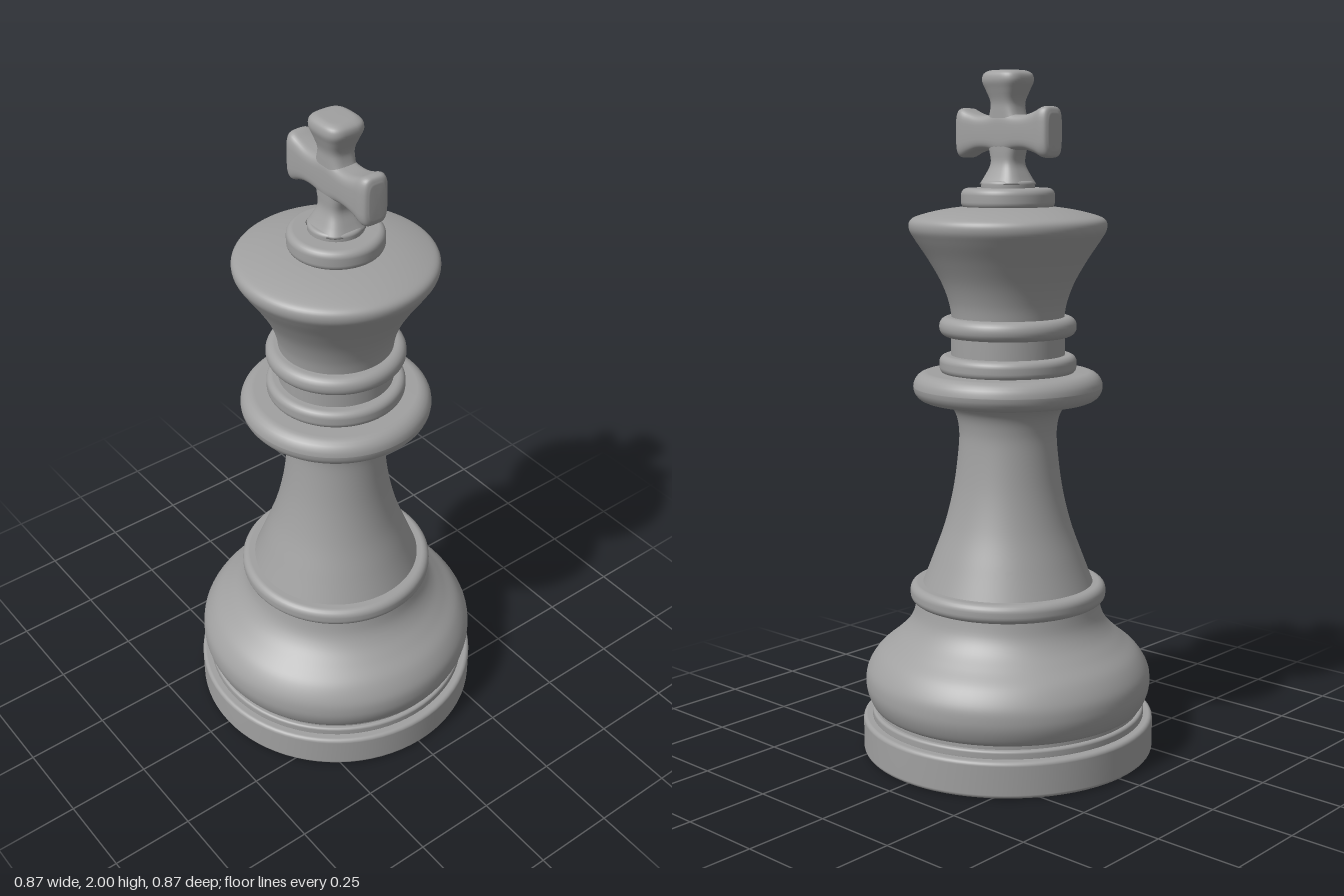
import * as THREE from 'three';
import { mergeVertices } from 'three/addons/utils/BufferGeometryUtils.js';

const SEGMENTS = 80;
const vectors = (pts) => pts.map(([r, y]) => new THREE.Vector2(r, y));

// Smooth curve through a few [radius, height] points
const smooth = (pts, n = 32) => new THREE.SplineCurve(vectors(pts)).getPoints(n);

// Profile of a turned disc whose rim is rounded by the given radius
function discProfile(r, y0, y1, round) {
  const pts = [[0, y0]];
  for (const [cy, start] of [[y0 + round, -Math.PI / 2], [y1 - round, 0]]) {
    for (let i = 0; i <= 6; i++) {
      const a = start + (i / 6) * Math.PI / 2;
      pts.push([r - round + round * Math.cos(a), cy + round * Math.sin(a)]);
    }
  }
  pts.push([0, y1]);
  return vectors(pts);
}

// Loft of rounded-square sections; stations are [height, half width, half depth]
function loft(stations, power) {
  const curve = new THREE.CatmullRomCurve3(stations.map(([y, w, d]) => new THREE.Vector3(w, y, d)));
  const rows = curve.getPoints(stations.length * 4);
  const count = rows.length;
  const first = rows[0], last = rows[count - 1];
  const outline = [[0, first.y], ...rows.map((p) => [1, p.y]), [0, last.y]];
  const geo = new THREE.LatheGeometry(vectors(outline), 40);
  const pos = geo.attributes.position;
  const bend = (v) => Math.sign(v) * Math.pow(Math.abs(v), 2 / power);
  for (let i = 0; i < pos.count; i++) {
    const row = rows[Math.min(Math.max(i % (count + 2) - 1, 0), count - 1)];
    pos.setX(i, bend(pos.getX(i)) * row.x);
    pos.setZ(i, bend(pos.getZ(i)) * row.z);
  }
  geo.deleteAttribute('normal');
  geo.deleteAttribute('uv');
  const merged = mergeVertices(geo, 1e-5);
  merged.computeVertexNormals();
  return merged;
}

export function createModel() {
  const model = new THREE.Group();
  model.name = 'chessKing';
  const grey = new THREE.MeshStandardMaterial({ color: 0xa0a0a0 });
  grey.name = 'stone grey';

  const add = (name, geo, parent = model) => {
    const mesh = new THREE.Mesh(geo, grey);
    mesh.name = name;
    parent.add(mesh);
    return mesh;
  };
  const turned = (name, pts) => add(name, new THREE.LatheGeometry(pts, SEGMENTS));

  // Foot: plinth, step and groove
  turned('plinth', discProfile(0.435, 0, 0.107, 0.012));
  turned('plinthStep', discProfile(0.408, 0.1, 0.13, 0.008));
  turned('groove', discProfile(0.395, 0.12, 0.15, 0.004));

  // Swelling base and its upper lip
  turned('baseBulge', smooth([
    [0.385, 0.138], [0.405, 0.146], [0.421, 0.18], [0.426, 0.215], [0.419, 0.255], [0.39, 0.3],
    [0.345, 0.338], [0.306, 0.375], [0.282, 0.415], [0.27, 0.47],
  ], 48));
  turned('baseLip', discProfile(0.291, 0.455, 0.511, 0.022));

  // Waisted shaft
  turned('shaft', smooth([
    [0.255, 0.505], [0.222, 0.59], [0.186, 0.69], [0.16, 0.8], [0.145, 0.92],
    [0.145, 0.98], [0.158, 1.025], [0.19, 1.06],
  ], 48));

  // Collar rings and neck
  turned('collar', discProfile(0.277, 1.055, 1.14, 0.042));
  turned('upperCollar', discProfile(0.2, 1.135, 1.19, 0.02));
  turned('neck', discProfile(0.166, 1.18, 1.255, 0.004));
  turned('neckRing', discProfile(0.2, 1.244, 1.301, 0.026));

  // Flared crown with a domed top
  turned('crown', smooth([
    [0.163, 1.29], [0.171, 1.34], [0.193, 1.4], [0.23, 1.465], [0.268, 1.522], [0.285, 1.553],
    [0.281, 1.579], [0.25, 1.594], [0.18, 1.61], [0.09, 1.62], [0, 1.622],
  ], 56));
  turned('crownButton', discProfile(0.135, 1.61, 1.67, 0.02));
  turned('crossFoot', discProfile(0.078, 1.66, 1.69, 0.01));

  // Cross with flared, rounded ends
  const cross = new THREE.Group();
  cross.name = 'cross';
  model.add(cross);
  add('crossUpright', loft([
    [1.68, 0.074, 0.07], [1.705, 0.06, 0.056], [1.74, 0.045, 0.042], [1.775, 0.052, 0.041],
    [1.83, 0.07, 0.041], [1.88, 0.05, 0.041], [1.91, 0.045, 0.042], [1.945, 0.058, 0.053],
    [1.97, 0.068, 0.061], [1.988, 0.065, 0.058], [1.998, 0.05, 0.045], [2.0, 0.03, 0.027],
  ], 3.2), cross);
  const halfArm = [[0.05, 0.05, 0.043], [0.09, 0.05, 0.043], [0.125, 0.06, 0.043],
    [0.152, 0.071, 0.044], [0.168, 0.068, 0.038], [0.175, 0.05, 0.025]];
  const mirrored = halfArm.map(([y, w, d]) => [-y, w, d]).reverse();
  const arms = add('crossArms', loft([...mirrored, [0, 0.062, 0.043], ...halfArm], 4), cross);
  arms.rotation.z = Math.PI / 2;
  arms.position.y = 1.826;

  return model;
}
